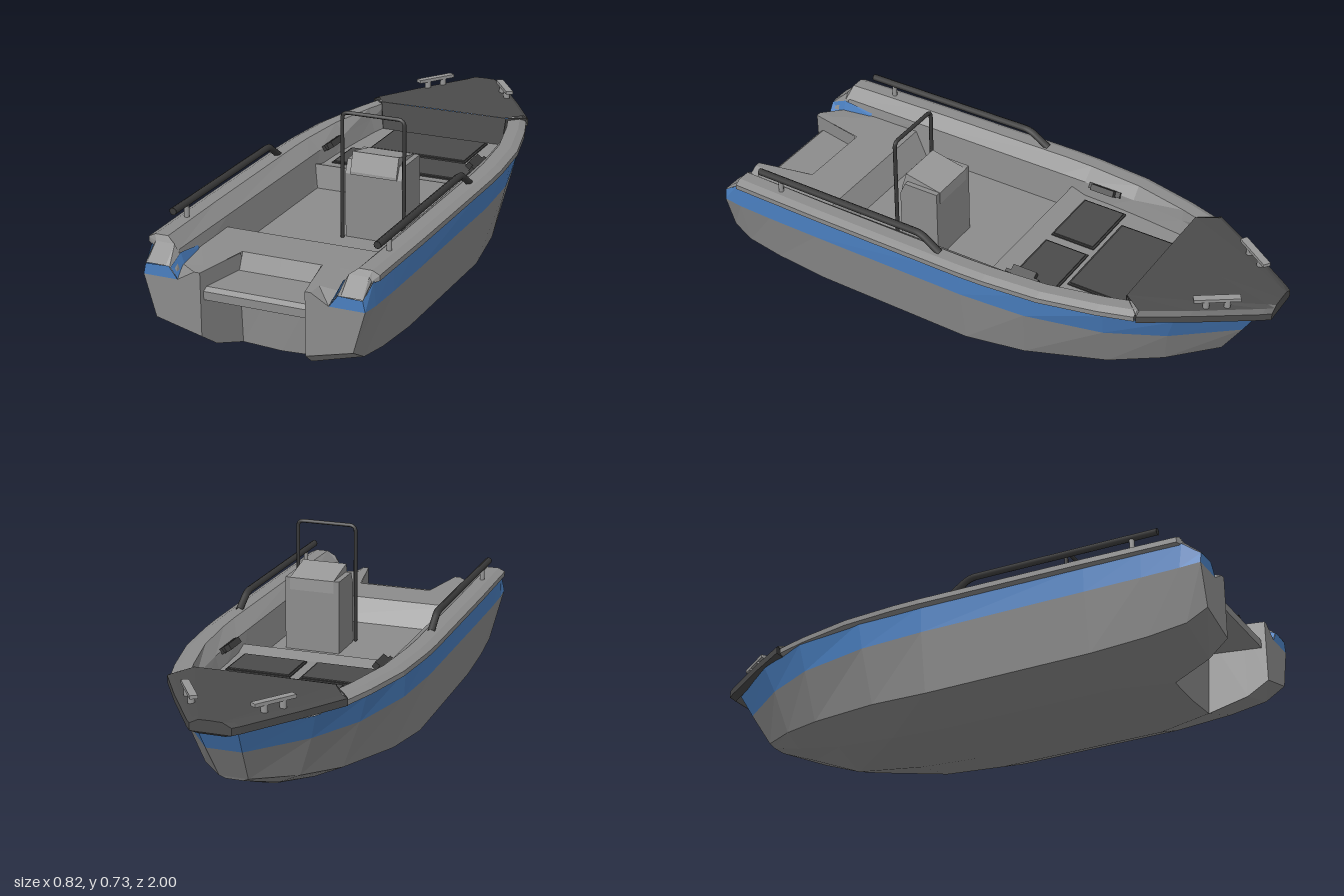
import * as THREE from 'three';

const mat = (name, color) => {
  const m = new THREE.MeshStandardMaterial({ color, side: THREE.DoubleSide });
  m.name = name;
  return m;
};

// Flat-faced sheet through rows of [x, y, z] points
function sheet(rows) {
  const p = [];
  for (let i = 0; i < rows.length - 1; i++) {
    for (let j = 0; j < rows[i].length - 1; j++) {
      const a = rows[i][j], b = rows[i][j + 1], c = rows[i + 1][j + 1], d = rows[i + 1][j];
      p.push(...a, ...b, ...c, ...a, ...c, ...d);
    }
  }
  const g = new THREE.BufferGeometry();
  g.setAttribute('position', new THREE.Float32BufferAttribute(p, 3));
  g.computeVertexNormals();
  return g;
}
const flip = (row) => row.map(([x, y, z]) => [-x, y, z]).reverse();
const both = (row) => [...flip(row), ...row];

// Side profile of [z, y] points given a width along x
function prism(profile, width) {
  const s = new THREE.Shape(profile.map(([z, y]) => new THREE.Vector2(z, y)));
  const g = new THREE.ExtrudeGeometry(s, { depth: width, bevelEnabled: false });
  return g.translate(0, 0, -width / 2).rotateY(-Math.PI / 2);
}
// Tube along straight runs with rounded corners
function bentTube(points, corner, radius) {
  const v = points.map((p) => new THREE.Vector3(...p));
  const path = new THREE.CurvePath();
  let from = v[0];
  for (let i = 1; i < v.length - 1; i++) {
    const toward = (q) => v[i].clone().add(q.clone().sub(v[i]).setLength(corner));
    const a = toward(v[i - 1]), b = toward(v[i + 1]);
    path.add(new THREE.LineCurve3(from, a));
    path.add(new THREE.QuadraticBezierCurve3(a, v[i], b));
    from = b;
  }
  path.add(new THREE.LineCurve3(from, v[v.length - 1]));
  return new THREE.TubeGeometry(path, 110, radius, 6);
}

export function createModel() {
  const boat = new THREE.Group();
  boat.name = 'boat';
  const grey = mat('hull grey', 0x8c8c8c);
  const blue = mat('stripe blue', 0x4a7fc0);
  const dark = mat('deck dark grey', 0x4b4b4b);
  const black = mat('rail black', 0x3a3a3a);
  const metal = mat('fitting light grey', 0x979797);
  const add = (name, geo, m, pos = [0, 0, 0], rot = [0, 0, 0]) => {
    const mesh = new THREE.Mesh(geo, m);
    mesh.name = name;
    mesh.position.set(...pos);
    mesh.rotation.set(...rot);
    boat.add(mesh);
    return mesh;
  };
  const addPair = (name, rows, m) => {
    add(name, sheet(rows), m);
    add(name, sheet(rows.map(flip)), m);
  };

  // Hull stations: keel, bilge, chine, stripe bottom, stripe top
  const stations = [
    [[0, 0.15, 1], [0.18, 0.15, 1], [0.34, 0.19, 1], [0.38, 0.33, 1], [0.372, 0.365, 1]],
    [[0, 0.1, 0.93], [0.166, 0.1, 0.93], [0.345, 0.15, 0.93], [0.384, 0.325, 0.93], [0.382, 0.41, 0.94]],
    [[0, 0.048, 0.8], [0.14, 0.055, 0.8], [0.35, 0.13, 0.8], [0.386, 0.322, 0.8], [0.385, 0.41, 0.8]],
    [[0, 0.02, 0.6], [0.2, 0.05, 0.6], [0.355, 0.115, 0.6], [0.387, 0.32, 0.6], [0.387, 0.41, 0.6]],
    [[0, 0, 0], [0.2, 0.04, 0], [0.355, 0.105, 0], [0.387, 0.315, 0], [0.39, 0.41, 0]],
    [[0, 0.01, -0.22], [0.19, 0.05, -0.22], [0.33, 0.12, -0.22], [0.372, 0.315, -0.24], [0.38, 0.41, -0.25]],
    [[0, 0.04, -0.47], [0.14, 0.085, -0.47], [0.25, 0.145, -0.5], [0.31, 0.315, -0.51], [0.335, 0.408, -0.52]],
    [[0, 0.12, -0.66], [0.09, 0.135, -0.67], [0.165, 0.17, -0.67], [0.215, 0.315, -0.7], [0.24, 0.405, -0.73]],
    [[0, 0.19, -0.82], [0.03, 0.19, -0.82], [0.05, 0.2, -0.825], [0.062, 0.32, -0.9], [0.07, 0.405, -0.95]],
  ];
  stations.push(stations[8].map(([, y, z]) => [0, y, z]));
  add('hull', sheet(stations.slice(2).map((s) => both(s.slice(0, 4)))), grey);
  addPair('sternHull', stations.slice(0, 3).map((s) => s.slice(1, 4)), grey);
  addPair('hullStripe', stations.map((s) => s.slice(3)), blue);

  // Transom halves with the blue band above
  const transom = new THREE.Shape([[0.18, 0.15], [0.34, 0.19], [0.38, 0.33], [0.26, 0.33], [0.2, 0.365],
    [0.18, 0.365]].map((p) => new THREE.Vector2(...p)));
  for (const s of [1, -1]) {
    add('transom', new THREE.ShapeGeometry(transom), grey, [0, 0, 1]).scale.x = s;
  }
  addPair('transomStripe', [[[0.26, 0.33, 1], [0.38, 0.33, 1]], [[0.29, 0.37, 1], [0.372, 0.367, 1]]], blue);

  // Engine well and its shelf
  addPair('wellSide', [stations.slice(0, 3).map((s) => s[1]),
    [[0.18, 0.365, 1], [0.166, 0.365, 0.93], [0.14, 0.365, 0.8]]], grey);
  add('wellWall', sheet([both([[0, 0.048, 0.8], [0.14, 0.055, 0.8]]),
    both([[0, 0.31, 0.815], [0.14, 0.31, 0.815]]), both([[0, 0.365, 0.79], [0.14, 0.365, 0.79]])]), grey);
  add('wellShelf', sheet([[0.14, 0.31, 0.8], [0.174, 0.31, 0.97], [0.177, 0.298, 0.985], [0.177, 0.27, 0.985],
    [0.14, 0.27, 0.8]].map((p) => both([p]))), grey);

  // Stern deck around the well
  addPair('sternDeck', [
    [[0.14, 0.365, 0.62], [0.2, 0.365, 0.62], [0.29, 0.365, 0.62]],
    [[0.14, 0.365, 0.79], [0.2, 0.365, 0.79], [0.29, 0.365, 0.79]],
    [[0.168, 0.365, 0.94], [0.2, 0.365, 0.94], [0.272, 0.358, 0.94]],
    [[0.18, 0.365, 1], [0.2, 0.365, 1], [0.26, 0.33, 1]]], grey);
  // Cockpit floor, stern step, and low ridge before the raised forward floor
  const floor = [[0.79, 0.365, 0.14], [0.62, 0.365, 0.14], [0.62, 0.365, 0.288], [0.57, 0.28, 0.28],
    [-0.035, 0.28, 0.28], [-0.05, 0.365, 0.288], [-0.105, 0.35, 0.287], [-0.4, 0.35, 0.268], [-0.56, 0.35, 0.243]];
  add('floor', sheet(floor.map(([z, y, x]) => both([[x, y, z]]))), grey);

  // Gunwale and inner wall: z, outer half width, floor half width, floor height
  const rim = [[0.93, 0.398, 0.27, 0.3], [0.6, 0.405, 0.27, 0.27], [0, 0.41, 0.27, 0.27], [-0.1, 0.407, 0.27, 0.29],
    [-0.3, 0.39, 0.264, 0.32], [-0.5, 0.345, 0.246, 0.33], [-0.62, 0.308, 0.222, 0.34]];
  const gunwale = rim.map(([z, w, f, y]) => [[w - 0.025, 0.402, z], [w, 0.41, z], [w, 0.428, z], [w - 0.025, 0.44, z],
    [w - 0.07, 0.44, z], [f + 0.02, 0.4, z], [f, y, z]]);
  gunwale.unshift(
    [[0.372, 0.36, 1], [0.372, 0.365, 1], [0.372, 0.367, 1], [0.367, 0.37, 1], [0.3, 0.37, 1],
      [0.287, 0.365, 1], [0.265, 0.33, 1]],
    [[0.372, 0.4, 0.94], [0.375, 0.405, 0.94], [0.375, 0.408, 0.94], [0.367, 0.42, 0.94], [0.3, 0.42, 0.94],
      [0.285, 0.395, 0.94], [0.265, 0.33, 0.94]]);
  addPair('gunwale', gunwale, grey);
  addPair('innerStripe', [
    [[0.284, 0.375, 0.82], [0.28, 0.395, 0.938], [0.283, 0.367, 1.0]],
    [[0.28, 0.366, 0.82], [0.261, 0.334, 0.938], [0.26, 0.332, 1.0]]], blue);

  // Dark foredeck cap with its rear bulkhead
  const cap = [[-0.63, 0.312, 0.245, -0.56], [-0.78, 0.22, 0.15, -0.78], [-0.975, 0.09, 0.05, -0.975],
    [-1, 0.07, 0.04, -1], [-1, 0, 0, -1]];
  add('foredeck', sheet(cap.map(([z, w, a, za]) => both([[0, 0.453, za], [a, 0.452, za],
    [Math.max(w - 0.02, 0), 0.447, z], [w, 0.437, z], [w, 0.412, z], [Math.max(w - 0.025, 0), 0.403, z + 0.01]]))), dark);
  add('bulkhead', sheet([both([[0.25, 0.452, -0.56]]), both([[0.238, 0.345, -0.55]])]), dark);
  addPair('bulkheadCorner', [[[0.245, 0.452, -0.56], [0.31, 0.44, -0.63]],
    [[0.238, 0.345, -0.55], [0.25, 0.345, -0.6]]], dark);

  // Floor hatches
  const hatch = (w, d, x, z) => {
    add('hatch', new THREE.BoxGeometry(w, 0.009, d), dark, [x, 0.354, z]);
    add('hatchFrame', new THREE.BoxGeometry(w + 0.014, 0.005, d + 0.014), black, [x, 0.352, z]);
  };
  hatch(0.365, 0.215, 0, -0.42);
  hatch(0.22, 0.155, -0.135, -0.205);
  hatch(0.22, 0.155, 0.135, -0.205);

  // Steering console with raised top and grab frame
  add('console', prism([[0.345, 0.27], [0.345, 0.505], [0.325, 0.55], [0.195, 0.55], [0.195, 0.27]], 0.205), grey,
    [0.118, 0, 0]);
  add('consoleTop', prism([[0.351, 0.505], [0.351, 0.515], [0.33, 0.58], [0.193, 0.55], [0.193, 0.505]], 0.166),
    metal, [0.119, 0, 0]);
  add('grabFrame', bentTube([[0.009, 0.28, 0.357], [0.009, 0.719, 0.352], [0.231, 0.719, 0.352],
    [0.231, 0.28, 0.357]], 0.022, 0.007), black);

  for (const s of [1, -1]) {
    // Side rail with post
    add('sideRail', bentTube([[s * 0.354, 0.489, 0.85], [s * 0.358, 0.489, 0.17], [s * 0.36, 0.438, 0.095]],
      0.025, 0.013), black);
    add('railEnd', new THREE.CircleGeometry(0.013, 6), black, [s * 0.354, 0.489, 0.85]);
    add('railPost', new THREE.CylinderGeometry(0.009, 0.009, 0.05, 8), metal, [s * 0.355, 0.46, 0.76]);

    // Bow cleat
    const turn = s * 0.6;
    add('cleatBar', new THREE.BoxGeometry(0.026, 0.012, 0.155), metal, [s * 0.142, 0.481, -0.835], [0, turn, 0]);
    for (const k of [-0.035, 0.035]) {
      add('cleatPost', new THREE.CylinderGeometry(0.012, 0.012, 0.03, 8), metal,
        [s * 0.142 + k * Math.sin(turn), 0.463, -0.835 + k * Math.cos(turn)]);
    }

    // Tilted handle on the inner wall
    add('wallHandle', new THREE.BoxGeometry(0.03, 0.022, 0.09), black, [s * 0.272, 0.405, -0.185], [0, 0, -s * 0.6]);
    add('handleBase', new THREE.BoxGeometry(0.012, 0.02, 0.125), black, [s * 0.283, 0.4, -0.185], [0, 0, -s * 0.6]);
  }
  return boat;
}
